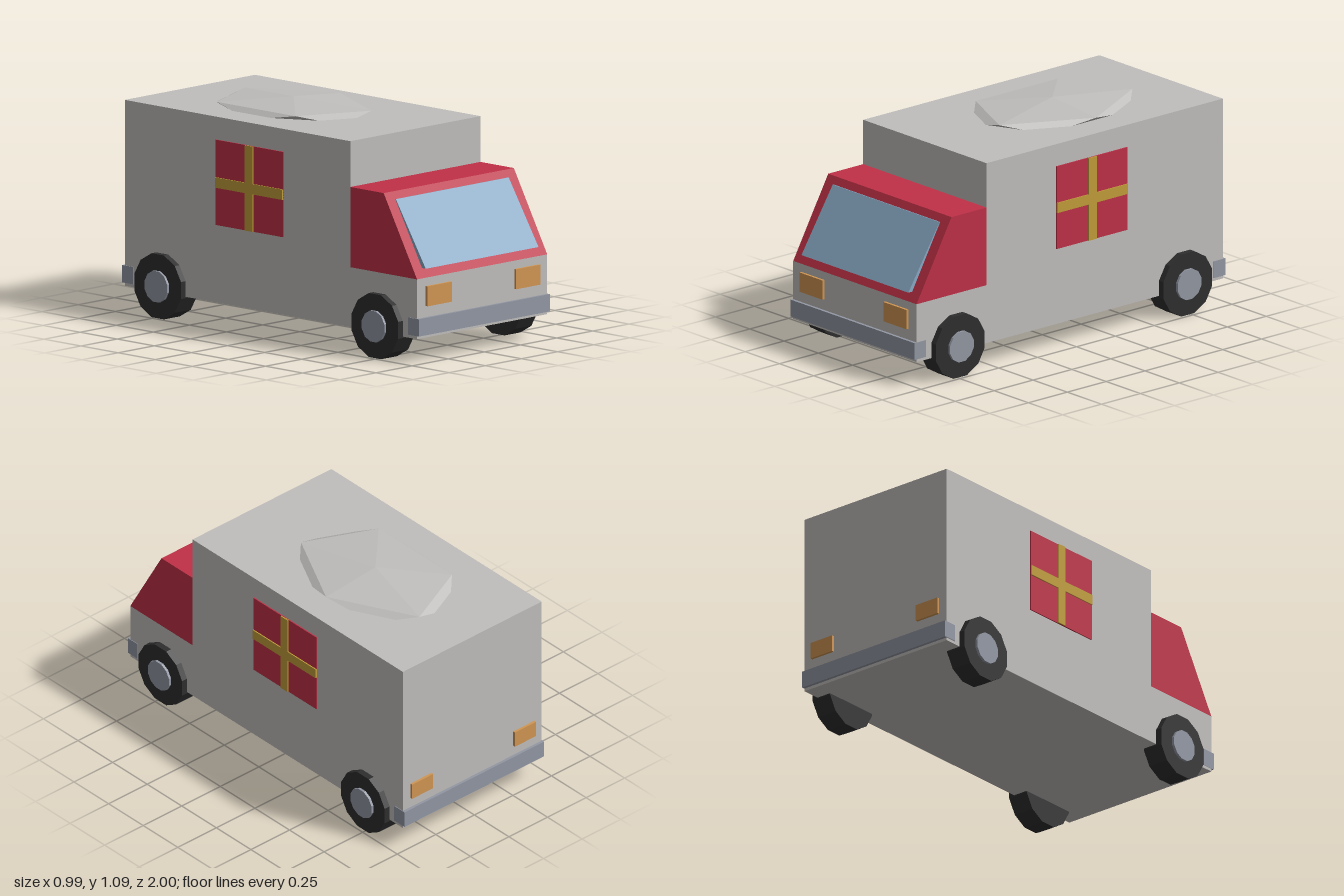
import * as THREE from 'three';

export function createModel() {
  const root = new THREE.Group();
  root.name = 'ambulanceVan';

  const mat = (name, color) => {
    const m = new THREE.MeshStandardMaterial({ color });
    m.name = name;
    return m;
  };
  const paint = mat('body grey', 0xc0bebc);
  const red = mat('red', 0xc03047);
  const glass = mat('glass blue', 0x8aaac6);
  const amber = mat('lamp amber', 0xd09653);
  const gold = mat('cross gold', 0xc29d39);
  const steel = mat('steel grey', 0x9297a3);
  const rubber = mat('tyre black', 0x2e2e2e);

  const add = (name, geometry, material, x = 0, y = 0, z = 0) => {
    const mesh = new THREE.Mesh(geometry, material);
    mesh.name = name;
    mesh.position.set(x, y, z);
    root.add(mesh);
    return mesh;
  };

  // Box given by its limits on each axis
  const box = (name, material, [x0, x1], [y0, y1], [z0, z1]) =>
    add(name, new THREE.BoxGeometry(x1 - x0, y1 - y0, z1 - z0), material,
      (x0 + x1) / 2, (y0 + y1) / 2, (z0 + z1) / 2);

  // Side profile in (z, y), extruded across the width
  const profile = (name, material, points, width) => {
    const shape = new THREE.Shape(points.map(([z, y]) => new THREE.Vector2(z, y)));
    const g = new THREE.ExtrudeGeometry(shape, { depth: width, bevelEnabled: false });
    g.translate(0, 0, -width / 2).rotateY(-Math.PI / 2);
    return add(name, g, material);
  };

  // Faceted twelve-sided disc on the x axis, flat side down
  const disc = (apothem, width) => {
    const g = new THREE.CylinderGeometry(1, 1, width, 12).toNonIndexed();
    const r = apothem / Math.cos(Math.PI / 12);
    g.scale(r, 1, r).rotateZ(Math.PI / 2).rotateX(Math.PI / 12);
    g.computeVertexNormals();
    return g;
  };

  // Body with low nose, sloped cab and windscreen
  profile('body', paint, [[-0.985, 0.122], [0.985, 0.122], [0.985, 0.416],
    [0.535, 0.416], [0.535, 1.035], [-0.985, 1.035]], 0.9);
  profile('cab', red, [[0.535, 0.416], [0.985, 0.416], [0.76, 0.81], [0.535, 0.81]], 0.9);
  profile('windscreen', glass, [[0.955, 0.46], [0.985, 0.46], [0.784, 0.775], [0.775, 0.775]], 0.78);

  // Faceted roof dome, one vertex pointing up, lower half sunk in the roof
  const dome = new THREE.IcosahedronGeometry(1, 0);
  dome.rotateZ(-Math.atan(2 / (1 + Math.sqrt(5)))).scale(0.358, 0.05, 0.503);
  dome.computeVertexNormals();
  add('roofDome', dome, paint, 0, 1.035, -0.285);

  // Bumpers
  box('frontBumper', steel, [-0.453, 0.453], [0.137, 0.222], [0.928, 1]);
  box('rearBumper', steel, [-0.453, 0.453], [0.137, 0.222], [-1, -0.925]);

  const wheel = disc(0.157, 0.111);
  const hub = disc(0.076, 0.03);
  for (const s of [1, -1]) {
    const side = s > 0 ? 'left' : 'right';
    const span = (a, b) => (s > 0 ? [a, b] : [-b, -a]);

    // Lamps
    box(side + 'Headlight', amber, span(0.222, 0.39), [0.277, 0.375], [0.98, 0.998]);
    box(side + 'TailLight', amber, span(0.265, 0.402), [0.277, 0.36], [-0.998, -0.98]);

    // Side panel with cross
    box(side + 'Panel', red, span(0.449, 0.456), [0.504, 0.923], [-0.366, 0.088]);
    box(side + 'CrossUpright', gold, span(0.453, 0.462), [0.504, 0.923], [-0.165, -0.113]);
    box(side + 'CrossBarFront', gold, span(0.453, 0.462), [0.688, 0.739], [-0.113, 0.088]);
    box(side + 'CrossBarRear', gold, span(0.453, 0.462), [0.688, 0.739], [-0.366, -0.165]);

    // Wheels
    for (const [end, z] of [['Front', 0.732], ['Rear', -0.732]]) {
      add(side + end + 'Tyre', wheel, rubber, s * 0.4265, 0.157, z);
      add(side + end + 'Hub', hub, steel, s * 0.48, 0.157, z);
    }
  }
  return root;
}
